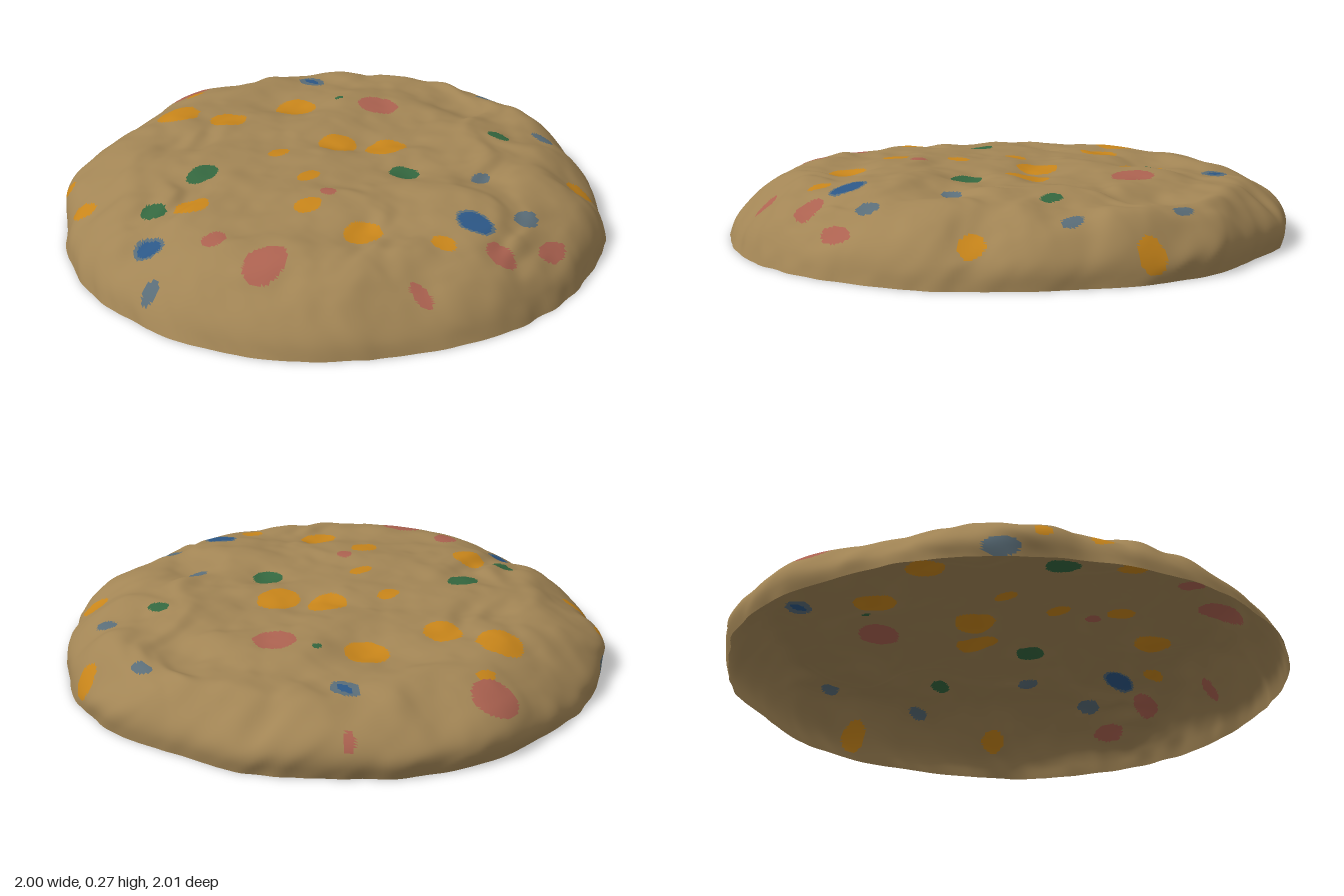
import * as THREE from 'three';

const RINGS = 120, SEGS = 420;

// Outline radius every 15 degrees, from +x towards +z
const OUTLINE = [0.995, 0.985, 0.965, 0.965, 0.985, 0.98, 0.988, 0.99, 0.985, 0.99, 1.005, 1.01,
  1.0, 1.0, 0.985, 0.975, 0.98, 0.99, 0.992, 1.02, 1.025, 1.005, 1.01, 0.975];

// Section from the centre to the rim: radius fraction, height
const PROFILE = [[0, 0.25], [0.3, 0.25], [0.55, 0.247], [0.72, 0.232], [0.825, 0.2], [0.89, 0.165],
  [0.935, 0.13], [0.97, 0.09], [0.99, 0.05], [1, 0]];

// Angles where the wall stands upright
const UPRIGHT = [4.07, 4.87, 5.42];

// Shallow dents: x, z, depth
const DENTS = [[0.08, 0.26, 0.018], [0.1, -0.06, 0.024], [0.455, -0.19, 0.022], [0.555, 0.69, 0.042],
  [0.24, 0.48, 0.032], [0.27, -0.445, 0.026], [-0.015, -0.53, 0.026], [0.51, -0.585, 0.016],
  [-0.35, 0.44, 0.018], [-0.215, 0.68, 0.035], [-0.42, 0.76, 0.03], [-0.83, -0.1, 0.03],
  [-0.685, -0.225, 0.016], [0.55, 0.32, 0.016], [-0.07, 0.84, 0.02], [0.12, 0.885, 0.03], [-0.92, 0.04, 0.018]];

// Spots on top: x, z, half width, half depth
const SPOTS = {
  redSpots: [[0.15, -0.915, 0.085, 0.07], [0.455, -0.19, 0.07, 0.08], [-0.71, 0.1, 0.047, 0.04],
    [-0.7, 0.325, 0.082, 0.068], [-0.245, 0.19, 0.028, 0.03], [-0.09, 0.825, 0.047, 0.05],
    [0.12, 0.885, 0.065, 0.033], [-0.42, 0.755, 0.025, 0.045]],
  orangeSpots: [[-0.1, -0.72, 0.083, 0.08], [-0.015, -0.53, 0.068, 0.07], [0.27, -0.445, 0.075, 0.08],
    [-0.735, -0.535, 0.033, 0.052], [0.105, -0.835, 0.037, 0.025], [-0.605, -0.12, 0.06, 0.06],
    [-0.11, -0.175, 0.045, 0.032], [-0.19, 0.045, 0.05, 0.03], [0.1, -0.075, 0.074, 0.07],
    [0.195, 0.075, 0.08, 0.07], [-0.36, 0.2, 0.055, 0.042], [-0.35, 0.44, 0.07, 0.063],
    [-0.215, 0.68, 0.036, 0.045], [0.555, 0.69, 0.043, 0.048]],
  blueSpots: [[-0.825, -0.1, 0.035, 0.045], [-0.055, 0.685, 0.045, 0.062], [0.51, -0.585, 0.018, 0.035]],
  slateSpots: [[-0.825, -0.1, 0.047, 0.057], [-0.055, 0.685, 0.053, 0.073], [0.51, -0.585, 0.042, 0.057],
    [-0.94, 0.03, 0.033, 0.027], [0.135, 0.76, 0.046, 0.037],
    [0.72, 0.4, 0.027, 0.044], [0.24, 0.48, 0.044, 0.026], [0.865, 0.02, 0.022, 0.046]],
  greenSpots: [[-0.41, -0.265, 0.065, 0.048], [-0.685, -0.225, 0.04, 0.048], [0.08, 0.26, 0.052, 0.056],
    [0.4, -0.34, 0.02, 0.015], [0.55, 0.32, 0.03, 0.044]],
};

// Spots on the side wall: angle in degrees, height, half width, half height
const WALL_SPOTS = {
  redSpots: [[311, 0.12, 0.02, 0.03]],
  orangeSpots: [[15.2, 0.09, 0.055, 0.06], [229, 0.1, 0.032, 0.028]],
  slateSpots: [[237, 0.035, 0.065, 0.035]],
};

const COLORS = {
  dough: 0xa28555, redSpots: 0xac6250, orangeSpots: 0xc8851a,
  blueSpots: 0x2c5786, slateSpots: 0x5a6d78, greenSpots: 0x34673f,
};

const hash = (i, j) => {
  const s = Math.sin(i * 127.1 + j * 311.7 + 4.2) * 43758.5453;
  return s - Math.floor(s);
};
const ease = t => t * t * t * (t * (t * 6 - 15) + 10);
const bell = (x, centre, width) => Math.exp(-(((x - centre) / width) ** 2));

// Smooth value noise, -1 to 1
function noise(x, z) {
  const i = Math.floor(x), j = Math.floor(z), u = ease(x - i), v = ease(z - j);
  const a = THREE.MathUtils.lerp(hash(i, j), hash(i + 1, j), u);
  const b = THREE.MathUtils.lerp(hash(i, j + 1), hash(i + 1, j + 1), u);
  return 2 * THREE.MathUtils.lerp(a, b, v) - 1;
}

function outline(theta) {
  const f = theta / (Math.PI * 2) * 24, i = Math.floor(f), u = f - i;
  return THREE.MathUtils.lerp(OUTLINE[i % 24], OUTLINE[(i + 1) % 24], u * u * (3 - 2 * u));
}

// One point of the lumpy dome
function surface(s, y, theta) {
  const c = Math.cos(theta), d = Math.sin(theta);
  const wall = Math.sin(Math.PI * Math.min(1, y / 0.25));
  const side = noise(c * 5 + 20, d * 5 + y * 9);
  const fine = noise(c * 13 + 50, d * 13 + y * 14);
  // the shoulder is fuller at the back left, and upright in a few places
  const upright = UPRIGHT.reduce((sum, a) => sum + bell(theta, a, 0.2), 0);
  const shoulder = 0.025 * Math.cos(theta + Math.PI / 4) + 0.025 * upright + 0.012 * side;
  const r = s * outline(theta) * (1 + wall * shoulder + s * 0.005 * fine);
  const x = r * c, z = r * d;
  // broad lumps, then wrinkles bent by the lumps
  const warp = noise(x * 3 + 7, z * 3 - 5);
  const bumps = 0.018 * noise(x * 4 + 3, z * 4 + 9) + 0.012 * noise(x * 6.5 + warp, z * 7.5 + warp * 1.5)
    + 0.003 * noise(x * 16 + 31, z * 16) + 0.01 * z;
  const dents = DENTS.reduce((sum, [dx, dz, depth]) => sum + depth * bell(Math.hypot(x - dx, z - dz), 0, 0.11), 0);
  // raised lip and valley along the left edge
  const lip = Math.max(0, c) ** 3 * (0.03 * bell(r, 0.86, 0.07) - 0.02 * bell(r, 0.69, 0.08));
  return [x, Math.max(0, y + (bumps + lip - dents) * Math.min(1, y / 0.2)), z];
}

function spotAt(x, y, z) {
  const theta = Math.atan2(z, x), wobble = 1 + 0.12 * noise(x * 30, z * 30);
  for (const name of Object.keys(SPOTS)) {
    if (SPOTS[name].some(([sx, sz, w, h]) => ((x - sx) / w) ** 2 + ((z - sz) / h) ** 2 < wobble)) return name;
  }
  if (Math.hypot(x, z) > 0.85) {
    for (const name of Object.keys(WALL_SPOTS)) {
      if (WALL_SPOTS[name].some(([deg, sy, w, h]) => {
        const turn = theta - THREE.MathUtils.degToRad(deg);
        const arc = Math.atan2(Math.sin(turn), Math.cos(turn));
        return (arc / w) ** 2 + ((y - sy) / h) ** 2 < wobble;
      })) return name;
    }
  }
  return 'dough';
}

export function createModel() {
  const group = new THREE.Group();
  group.name = 'cookie';

  // Shared vertices: centre point, then rings out to the open base
  const curve = new THREE.SplineCurve(PROFILE.map(p => new THREE.Vector2(...p)));
  const section = curve.getSpacedPoints(RINGS);
  const pos = [...surface(0, section[0].y, 0)];
  for (let i = 1; i <= RINGS; i++) {
    for (let j = 0; j < SEGS; j++) {
      pos.push(...surface(section[i].x, Math.max(0, section[i].y), j / SEGS * Math.PI * 2));
    }
  }

  // Sort the faces by the spot they fall in
  const faces = {}, all = [];
  Object.keys(COLORS).forEach(name => { faces[name] = []; });
  const at = (i, j) => (i ? 1 + (i - 1) * SEGS + j % SEGS : 0);
  const addFace = (...tri) => {
    const mid = k => (pos[tri[0] * 3 + k] + pos[tri[1] * 3 + k] + pos[tri[2] * 3 + k]) / 3;
    faces[spotAt(mid(0), mid(1), mid(2))].push(...tri);
    all.push(...tri);
  };
  for (let i = 0; i < RINGS; i++) {
    for (let j = 0; j < SEGS; j++) {
      if (i) addFace(at(i, j), at(i, j + 1), at(i + 1, j));
      addFace(at(i, j + 1), at(i + 1, j + 1), at(i + 1, j));
    }
  }

  const whole = new THREE.BufferGeometry();
  whole.setAttribute('position', new THREE.Float32BufferAttribute(pos, 3));
  whole.setIndex(all);
  whole.computeVertexNormals();

  // One mesh per colour, all sharing the smooth shell
  for (const [name, color] of Object.entries(COLORS)) {
    const geometry = new THREE.BufferGeometry();
    geometry.setAttribute('position', whole.attributes.position);
    geometry.setAttribute('normal', whole.attributes.normal);
    geometry.setIndex(faces[name]);
    const material = new THREE.MeshStandardMaterial({ color, side: THREE.DoubleSide });
    material.name = name + 'Color';
    const mesh = new THREE.Mesh(geometry, material);
    mesh.name = name;
    group.add(mesh);
  }
  return group;
}
